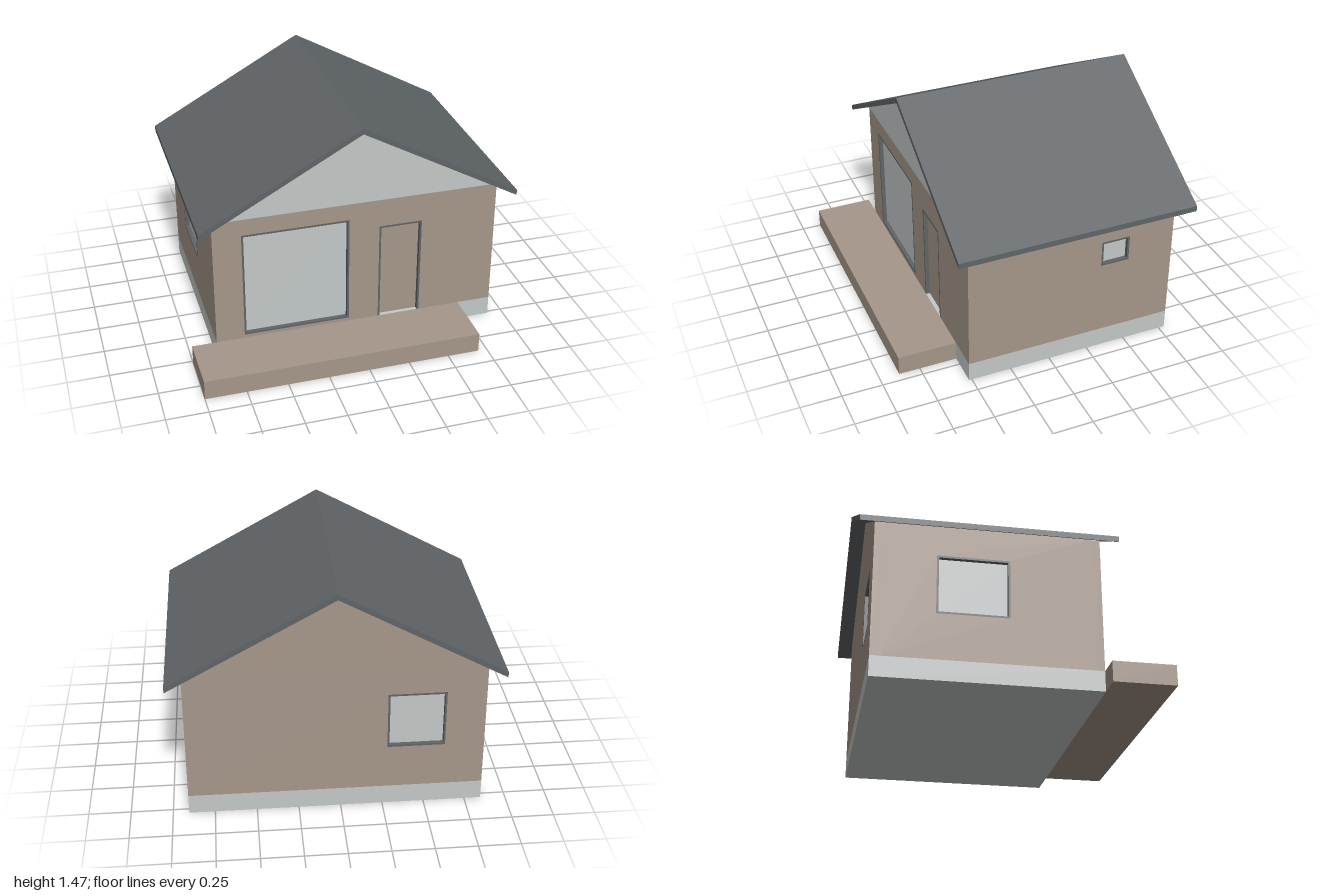
import * as THREE from 'three';

const material = (name, color) => {
  const m = new THREE.MeshStandardMaterial({ color });
  m.name = name;
  return m;
};

// House extents
const LEFT = -0.85, RIGHT = 0.905, BACK = -0.788, FRONT = 0.517;
const BASE = 0.122, EAVE = 0.945, RIDGE_X = 0.028, RIDGE_Y = 1.43;
const THICK = 0.05, TRIM = 0.012, RECESS = 0.025;

export function createModel() {
  const model = new THREE.Group();
  model.name = 'house';
  const timber = material('warm taupe', 0xa6978a);
  const pale = material('pale grey', 0xc3c9c8);
  const slate = material('slate grey', 0x606567);

  const add = (parent, name, geometry, mat) => {
    const mesh = new THREE.Mesh(geometry, mat);
    mesh.name = name;
    parent.add(mesh);
    return mesh;
  };
  const box = (parent, name, mat, x0, x1, y0, y1, z0, z1) =>
    add(parent, name, new THREE.BoxGeometry(x1 - x0, y1 - y0, z1 - z0), mat)
      .position.set((x0 + x1) / 2, (y0 + y1) / 2, (z0 + z1) / 2);
  const outline = (points) => new THREE.Shape(points.map(([x, y]) => new THREE.Vector2(x, y)));
  const rect = ([x0, x1, y0, y1]) => outline([[x0, y0], [x1, y0], [x1, y1], [x0, y1]]);

  // Extrudes a shape inward from the plane z = 0
  const slab = (parent, name, mat, shape, depth) =>
    add(parent, name, new THREE.ExtrudeGeometry(shape, { depth, bevelEnabled: false })
      .translate(0, 0, -depth), mat);

  // A wall facing local +z, with flush trim and recessed panes in its windows
  const wall = (name, points, windows) => {
    const group = new THREE.Group();
    group.name = name;
    const shape = outline(points);
    for (const w of windows) {
      shape.holes.push(rect(w));
      const [x0, x1, y0, y1] = w;
      const frame = rect(w);
      frame.holes.push(rect([x0 + TRIM, x1 - TRIM, y0 + TRIM, y1 - TRIM]));
      slab(group, 'windowFrame', slate, frame, THICK);
      box(group, 'windowPane', pale, x0 + TRIM, x1 - TRIM, y0 + TRIM, y1 - TRIM, -RECESS - 0.008, -RECESS);
    }
    slab(group, 'wallPanel', timber, shape, THICK);
    model.add(group);
    return group;
  };

  // Plinth and terrace
  box(model, 'plinth', pale, LEFT, RIGHT, 0, BASE, BACK, FRONT);
  box(model, 'terrace', timber, -1, 0.695, 0, 0.122, FRONT, 0.88);

  // Front wall, notched for the door
  const [d0, d1, dTop] = [0.165, 0.433, 0.76];
  const front = wall('frontWall', [
    [LEFT, BASE], [d0, BASE], [d0, dTop], [d1, dTop], [d1, BASE],
    [RIGHT, BASE], [RIGHT, 0.94], [LEFT, 0.94],
  ], [[-0.677, -0.022, 0.143, 0.835]]);
  front.position.z = FRONT;
  slab(front, 'doorFrame', slate, outline([
    [d0, BASE], [d0 + TRIM, BASE], [d0 + TRIM, dTop - TRIM], [d1 - TRIM, dTop - TRIM],
    [d1 - TRIM, BASE], [d1, BASE], [d1, dTop], [d0, dTop],
  ]), THICK);
  box(front, 'door', timber, d0 + TRIM, d1 - TRIM, BASE, dTop - TRIM, -THICK, -RECESS);
  slab(front, 'frontGable', pale, outline([
    [LEFT, 0.94], [RIGHT, 0.94], [RIGHT, EAVE], [RIDGE_X, RIDGE_Y], [LEFT, EAVE],
  ]), THICK);

  // Back wall with its gable (local x is mirrored)
  const back = wall('backWall', [
    [-RIGHT, BASE], [-LEFT, BASE], [-LEFT, EAVE], [-RIDGE_X, RIDGE_Y], [-RIGHT, EAVE],
  ], [[0.274, 0.617, 0.4, 0.76]]);
  back.rotation.y = Math.PI;
  back.position.z = BACK;

  // Side walls between the front and back walls
  const z0 = BACK + THICK, z1 = FRONT - THICK;
  const rightWall = wall('rightWall',
    [[-z1, BASE], [-z0, BASE], [-z0, EAVE], [-z1, EAVE]], [[0.32, 0.5, 0.595, 0.76]]);
  rightWall.rotation.y = Math.PI / 2;
  rightWall.position.x = RIGHT;
  const leftWall = wall('leftWall',
    [[z0, BASE], [z1, BASE], [z1, EAVE], [z0, EAVE]], [[-0.43, -0.012, 0.4, 0.76]]);
  leftWall.rotation.y = -Math.PI / 2;
  leftWall.position.x = LEFT;

  // Folded roof sheet with overhangs on every side
  const roof = slab(model, 'roof', slate, outline([
    [-0.942, 0.895], [RIDGE_X, 1.431], [0.998, 0.895],
    [0.998, 0.93], [RIDGE_X, 1.466], [-0.942, 0.93],
  ]), 1.485);
  roof.position.z = 0.607;

  return model;
}
